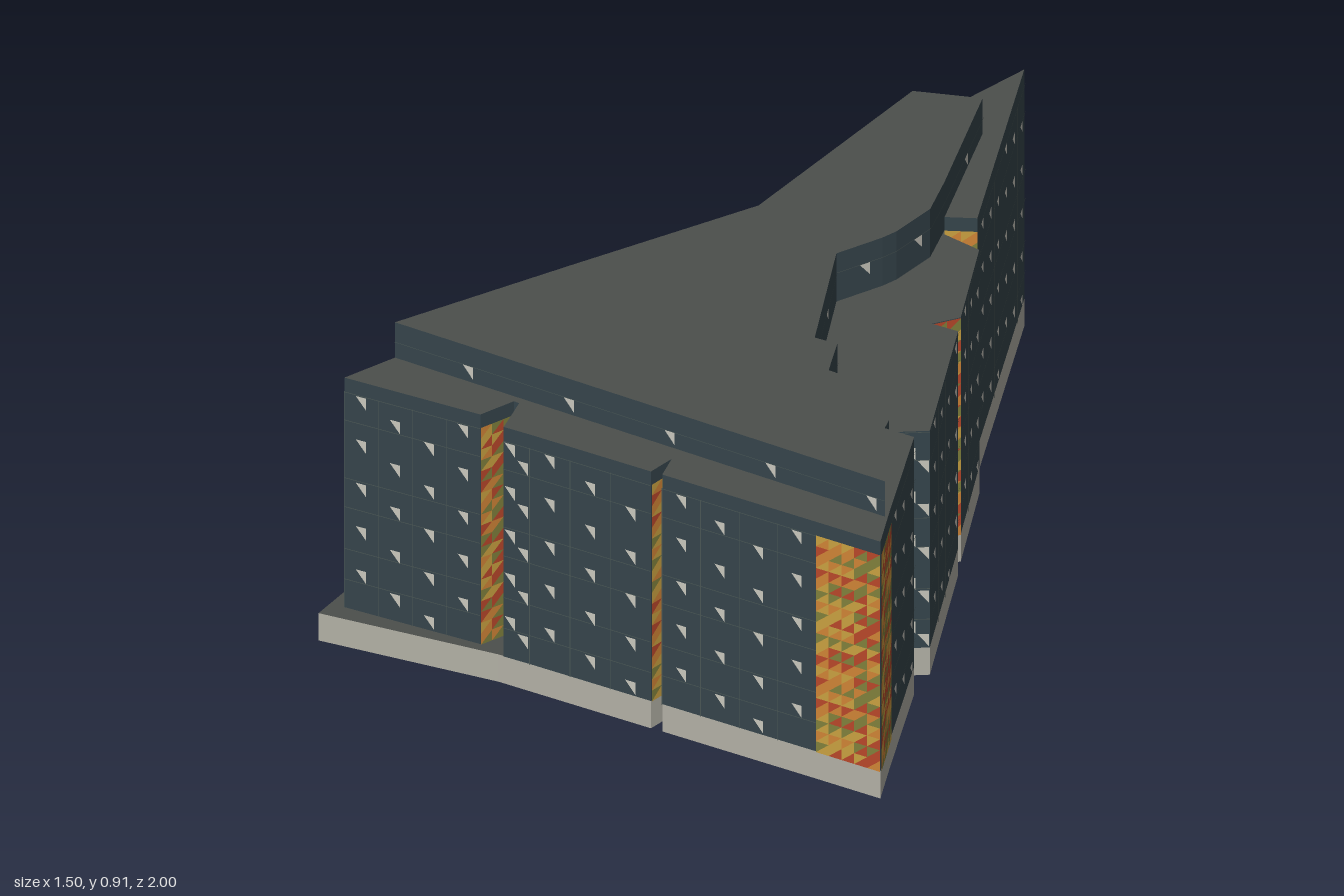
import * as THREE from 'three';

const BASE_TOP = 0.085, FACADE_TOP = 0.76, PARAPET_TOP = 0.8, ROOF_TOP = 0.91;
const mat = (color) => new THREE.MeshStandardMaterial({ color });

// Outlines run clockwise seen from above: [x, z, kind of the wall that starts here]
// w = windows, d = dense windows, c = coloured panels
const eastWall = [
  [0.01, -1, 'w'], [0.24, -0.44, 'c'], [0.17, -0.4, 'c'], [0.18, -0.385, 'c'],
  [0.285, -0.38, 'w'], [0.395, -0.13, 'c'], [0.35, -0.07, 'c'], [0.42, -0.08, 'w'],
  [0.58, 0.29, 'd'], [0.5, 0.35, 'c'], [0.51, 0.385, 'c'],
];
const southEast = [
  [0.59, 0.375, 'w'], [0.7, 0.65, 'c'], [0.75, 0.77, 'c'], [0.575, 0.79, 'w'],
  [0.155, 0.84, 'c'], [0.14, 0.775, 'c'], [0.125, 0.845, 'w'],
];
const southWest = [
  [-0.205, 0.885, 'd'], [-0.275, 0.895, 'c'], [-0.295, 0.795], [-0.31, 0.795, 'c'],
  [-0.35, 0.885, 'w'], [-0.71, 0.945, 'c'], [-0.65, 0.81, 'w'],
];
const westWall = [
  [-0.41, 0.375, 'w'], [-0.16, -0.07, 'w'], [-0.095, -0.66, 'c'], [-0.045, -0.82, 'c'],
];
const terraceEdge = [
  [0.17, -0.4], [0.2, -0.29, 'p'], [0.18, -0.17, 'p'], [0.165, -0.13, 'p'],
  [0.105, -0.015, 'p'], [0.245, 0.295], [0.305, 0.285], [0.345, 0.385],
];
const body = [...eastWall, ...southEast, ...southWest, ...westWall];
const base = [
  ...eastWall, ...southEast, [-0.29, 0.895], [-0.75, 1], [-0.735, 0.745], [-0.62, 0.64], ...westWall,
];
const parapet = [
  ...eastWall.slice(0, 2), ...terraceEdge, ...eastWall.slice(9), ...southEast, ...southWest, ...westWall,
];
const penthouse = [
  [0.065, -0.73, 'p'], ...terraceEdge, [0.415, 0.38, 'p'], [0.705, 0.68, 'p'], [-0.65, 0.81],
  ...westWall.slice(0, 2), [-0.095, -0.66],
];

// Vertical prism over a ground outline, with separate cap and wall materials
function prism(name, outline, y0, y1, capMat, wallMat) {
  const shape = new THREE.Shape(outline.map(([x, z]) => new THREE.Vector2(x, -z)));
  const geo = new THREE.ExtrudeGeometry(shape, { depth: y1 - y0, bevelEnabled: false });
  geo.rotateX(-Math.PI / 2).translate(0, y0, 0);
  const mesh = new THREE.Mesh(geo, [capMat, wallMat]);
  mesh.name = name;
  return mesh;
}

// Calls visit(kind, length, place) for each wall; place maps (along, height) to space
function eachWall(outline, offset, visit) {
  outline.forEach(([bx, bz, kind], i) => {
    const [ax, az] = outline[(i + 1) % outline.length];
    const len = Math.hypot(bx - ax, bz - az);
    const ux = (bx - ax) / len, uz = (bz - az) / len;
    visit(kind, len, (u, y) => [ax + ux * u - uz * offset, y, az + uz * u + ux * offset]);
  });
}

function meshOf(name, positions, color) {
  const geo = new THREE.BufferGeometry();
  geo.setAttribute('position', new THREE.Float32BufferAttribute(positions, 3));
  geo.computeVertexNormals();
  const mesh = new THREE.Mesh(geo, mat(color));
  mesh.name = name;
  return mesh;
}

const addTri = (out, place, ...pts) => pts.forEach(([u, y]) => out.push(...place(u, y)));
function addRect(out, place, u0, u1, y0, y1) {
  addTri(out, place, [u0, y0], [u1, y0], [u1, y1]);
  addTri(out, place, [u0, y0], [u1, y1], [u0, y1]);
}
// Triangular window: level top, upright right edge
const addWindow = (out, place, u, top) =>
  addTri(out, place, [u, top], [u + 0.028, top - 0.038], [u + 0.028, top]);

export function createModel() {
  const group = new THREE.Group();
  const wall = mat(0x35444b), roof = mat(0x4c4f4c), stone = mat(0xb2b0a5);
  group.add(
    prism('plinth', base, 0, BASE_TOP, roof, stone),
    prism('facade', body, BASE_TOP, FACADE_TOP, roof, wall),
    prism('parapet', parapet, FACADE_TOP, PARAPET_TOP, roof, wall),
    prism('penthouse', penthouse, FACADE_TOP, ROOF_TOP, roof, wall),
  );

  // Facade windows, panel joints and coloured triangles
  const windows = [], joints = [], tints = [[], [], [], []];
  const phases = [0.005, 0.05, 0.09];
  let wallIndex = 0;
  eachWall(body, 0.003, (kind, len, place) => {
    wallIndex++;
    if (kind === 'c') {
      const cols = Math.max(1, Math.round(len / 0.035)), rows = 20;
      const w = len / cols, h = (FACADE_TOP - BASE_TOP) / rows;
      for (let c = 0; c < cols; c++) {
        for (let r = 0; r < rows; r++) {
          const u = c * w, y = BASE_TOP + r * h, k = c * 3 + r * 5 + ((r * r + c + wallIndex) % 3);
          addTri(tints[k % 4], place, [u, y], [u + w, y + h], [u, y + h]);
          addTri(tints[(k + 1 + (r % 2)) % 4], place, [u, y], [u + w, y], [u + w, y + h]);
        }
      }
    } else if (kind) {
      const cols = Math.max(1, Math.round(len / (kind === 'd' ? 0.034 : 0.095)));
      const pitch = len / cols;
      for (let c = 0; c < cols; c++) {
        const u = c * pitch + Math.max(0, pitch - 0.028) * 0.5;
        for (let top = FACADE_TOP - phases[c % 3]; top > BASE_TOP + 0.038; top -= 0.135) {
          addWindow(windows, place, u, top);
        }
        if (kind === 'w') addRect(joints, place, c * pitch, c * pitch + 0.002, BASE_TOP, FACADE_TOP);
      }
      for (const y of [0.175, 0.27, 0.4, 0.49, 0.67, 0.757]) addRect(joints, place, 0, len, y, y + 0.002);
    }
  });

  // Penthouse windows, a sparse row above the parapet
  eachWall(penthouse, 0.003, (kind, len, place) => {
    for (let u = len > 1 ? 0.19 : len / 2; u < len - 0.03; u += 0.28) {
      if (kind) addWindow(windows, place, u, 0.85);
    }
    addRect(joints, place, 0, len, 0.85, 0.8515);
  });

  group.add(meshOf('windows', windows, 0xc9c7bd), meshOf('panelJoints', joints, 0x4a5654));
  const colors = [0xb8472a, 0xcf8436, 0x80803c, 0xc9a040];
  tints.forEach((t, i) => group.add(meshOf('colouredPanels' + (i + 1), t, colors[i])));
  return group;
}
